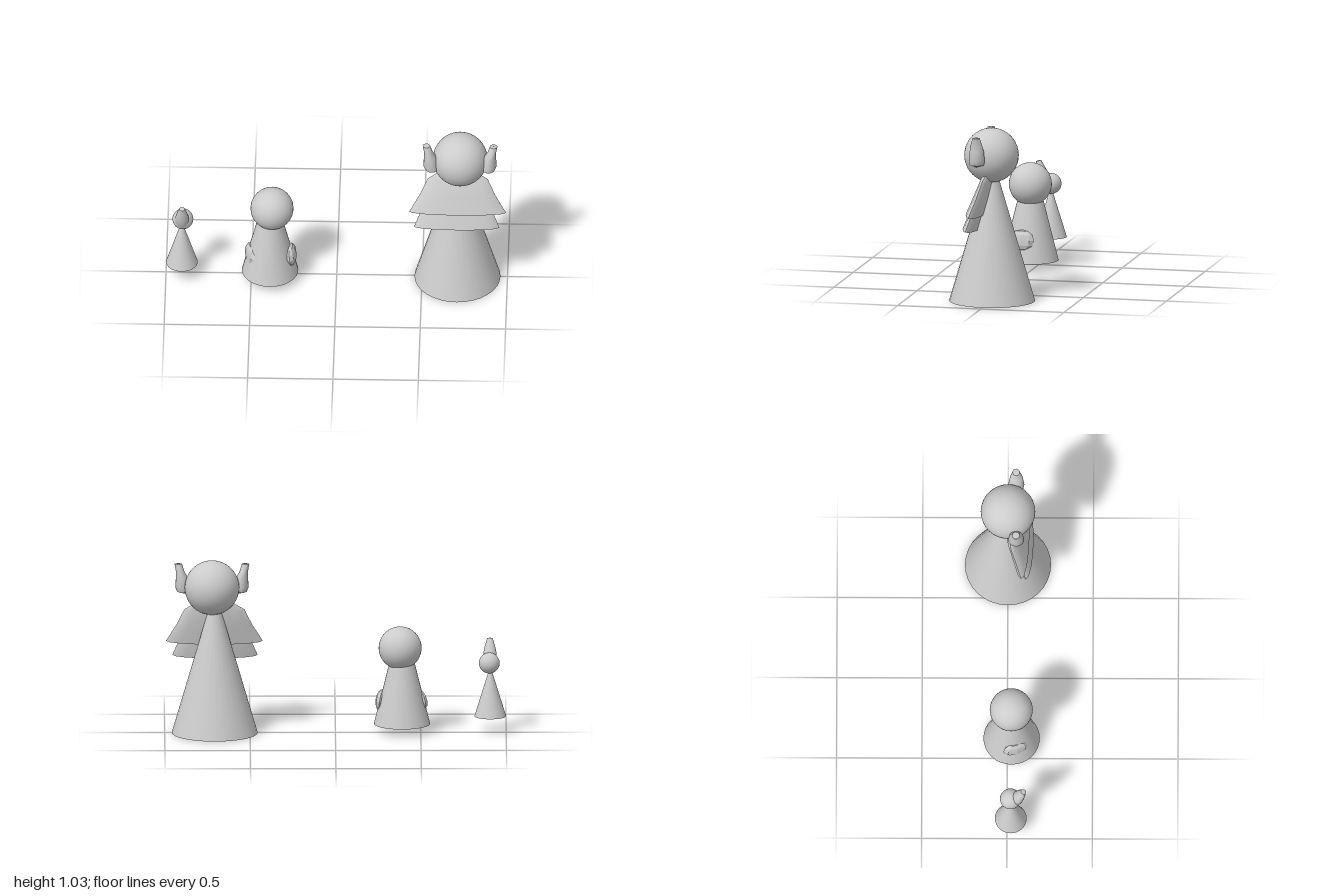
import * as THREE from 'three';
import { toCreasedNormals } from 'three/addons/utils/BufferGeometryUtils.js';

const material = new THREE.MeshStandardMaterial({ color: 0xcccccc, side: THREE.DoubleSide });

function add(parent, name, geometry, x = 0, y = 0, z = 0) {
  const mesh = new THREE.Mesh(geometry, material);
  mesh.name = name;
  mesh.position.set(x, y, z);
  parent.add(mesh);
  return mesh;
}

// Elliptical rings, listed top first: [x, y, z, rx, rz]; tilt raises the front of each ring
function loft(rings, sides, tilt = 0, crease = 0.6) {
  const geometry = new THREE.CylinderGeometry(1, 1, 1, sides, rings.length - 1, true);
  const p = geometry.attributes.position;
  for (let i = 0; i < p.count; i++) {
    const [x, y, z, rx, rz] = rings[Math.floor(i / (sides + 1))];
    const dz = p.getZ(i) * rz;
    p.setXYZ(i, x + p.getX(i) * rx, y + tilt * dz, z + dz);
  }
  return toCreasedNormals(geometry, crease);
}

// Open cone body standing at height y, with a ball head
function figure(name, body, head) {
  const group = new THREE.Group();
  group.name = name;
  const cone = new THREE.CylinderGeometry(body.top, body.radius, body.height, 32, 1, true);
  add(group, 'body', cone, body.x, body.y + body.height / 2, body.z);
  add(group, 'head', new THREE.SphereGeometry(head.radius, 32, 20), head.x, head.y, head.z);
  return group;
}

function createLarge() {
  const group = figure('largeFigure',
    { x: 0.707, y: 0, z: 0, top: 0, radius: 0.252, height: 0.86 },
    { x: 0.723, y: 0.868, z: 0, radius: 0.16 });

  // Flattened two-tier cape leaning forward
  add(group, 'upperCape', loft([
    [0, 0.785, 0.005, 0.001, 0.001],
    [0, 0.775, 0.006, 0.11, 0.017],
    [0, 0.735, 0.018, 0.176, 0.03],
    [0, 0.64, 0.045, 0.22, 0.04],
    [0, 0.533, 0.078, 0.284, 0.048],
  ], 16, 0.27), 0.709);
  add(group, 'lowerCape', loft([
    [0, 0.6, 0.06, 0.18, 0.03],
    [0, 0.515, 0.083, 0.22, 0.041],
    [0, 0.443, 0.105, 0.25, 0.045],
  ], 16, 0.27), 0.705);

  // Upright ears, mirrored about the head
  for (const side of [-1, 1]) {
    add(group, side > 0 ? 'leftEar' : 'rightEar', loft([
      [side * 0.197, 1.003, 0.047, 0.001, 0.001],
      [side * 0.197, 1.0, 0.047, 0.022, 0.021],
      [side * 0.185, 0.95, 0.048, 0.025, 0.037],
      [side * 0.176, 0.92, 0.048, 0.035, 0.042],
      [side * 0.172, 0.86, 0.048, 0.043, 0.047],
      [side * 0.166, 0.835, 0.05, 0.038, 0.042],
      [side * 0.158, 0.82, 0.055, 0.001, 0.001],
    ], 16), 0.723);
  }
  return group;
}

function createMedium() {
  const group = figure('mediumFigure',
    { x: -0.39, y: 0.047, z: 0.025, top: 0.05, radius: 0.165, height: 0.46 },
    { x: -0.379, y: 0.501, z: 0.023, radius: 0.126 });

  // Faceted hands resting against the sides
  for (const side of [-1, 1]) {
    const hand = new THREE.SphereGeometry(1, 8, 6);
    hand.scale(0.03, 0.062, 0.078);
    const mesh = add(group, side > 0 ? 'leftHand' : 'rightHand', toCreasedNormals(hand, 0.3),
      side > 0 ? -0.265 : -0.5, 0.184, 0.05);
    mesh.rotation.y = side > 0 ? -0.1 : 0.35;
    mesh.rotation.z = side * 0.15;
  }
  return group;
}

function createSmall() {
  const group = figure('smallFigure',
    { x: -0.907, y: 0.093, z: 0.022, top: 0, radius: 0.093, height: 0.3 },
    { x: -0.901, y: 0.411, z: 0.02, radius: 0.061 });

  // Tapering crest leaning forward from the face
  add(group, 'crest', loft([
    [0, 0.547, 0.096, 0.001, 0.001],
    [0, 0.543, 0.096, 0.016, 0.015],
    [0, 0.5, 0.083, 0.03, 0.024],
    [0, 0.46, 0.068, 0.039, 0.032],
    [0, 0.42, 0.052, 0.04, 0.036],
    [0, 0.4, 0.048, 0.032, 0.03],
    [0, 0.388, 0.045, 0.001, 0.001],
  ], 16, -0.3), -0.905);
  return group;
}

export function createModel() {
  const group = new THREE.Group();
  group.name = 'figureTrio';
  group.add(createLarge(), createMedium(), createSmall());
  return group;
}
